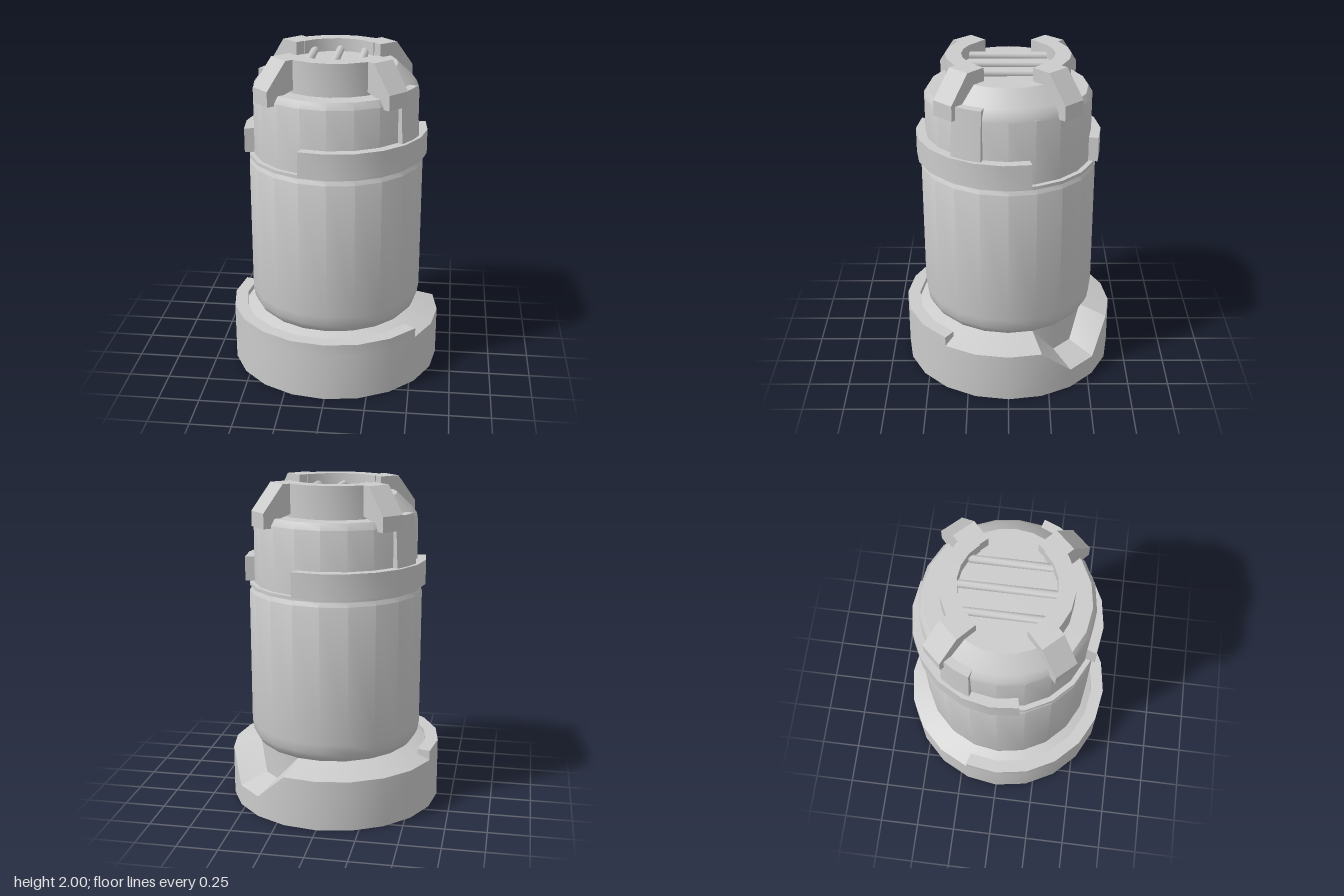
import * as THREE from 'three';
import { toCreasedNormals } from 'three/addons/utils/BufferGeometryUtils.js';

const SIDES = 20;
const rad = THREE.MathUtils.degToRad;
const material = new THREE.MeshStandardMaterial({ color: 0xcccccc });

function part(name, geometry, crease = 0.6) {
  const mesh = new THREE.Mesh(toCreasedNormals(geometry, crease), material);
  mesh.name = name;
  return mesh;
}

// Turned solid; profile runs from bottom to top
function turned(profile, start = 0, sweep = 360, sides = SIDES) {
  const points = profile.map(([r, y]) => new THREE.Vector2(r, y));
  return new THREE.LatheGeometry(points, sides, rad(start), rad(sweep));
}

// Block bent round the y axis; angles in degrees from +x towards +z
function ringBlock(r0, r1, y0, y1, a0, a1, taper = 1) {
  const n = Math.max(2, Math.round((a1 - a0) / 18));
  const outer = [], inner = [];
  for (let i = 0; i <= n; i++) {
    const a = rad(a0 + ((a1 - a0) * i) / n);
    outer.push(new THREE.Vector2(r1 * Math.cos(a), r1 * Math.sin(a)));
    inner.unshift(new THREE.Vector2(r0 * Math.cos(a), r0 * Math.sin(a)));
  }
  const g = new THREE.ExtrudeGeometry(new THREE.Shape([...outer, ...inner]), { depth: y1 - y0, bevelEnabled: false });
  g.rotateX(Math.PI / 2).translate(0, y1, 0);
  // Draw the upper outer edge inwards
  const p = g.attributes.position;
  for (let i = 0; i < p.count; i++) {
    if (p.getY(i) > y1 - 0.001 && Math.hypot(p.getX(i), p.getZ(i)) > r1 - 0.001) {
      p.setX(i, p.getX(i) * taper);
      p.setZ(i, p.getZ(i) * taper);
    }
  }
  return g;
}

// Base foot: wall and sloping top whose height dips at the notch
function footGeometry() {
  const R = 0.655, r = 0.48, v = [];
  const top = (k) => ([17, 18].includes(k % SIDES) ? 0.13 : 0.31);
  const at = (radius, y, k) => {
    const a = rad(18 * k);
    return [radius * Math.cos(a), y, radius * Math.sin(a)];
  };
  const quad = (a, b, c, d) => v.push(...a, ...b, ...c, ...a, ...c, ...d);
  for (let k = 0; k < SIDES; k++) {
    const h0 = top(k), h1 = top(k + 1);
    const o0 = at(R, h0, k), o1 = at(R, h1, k + 1);
    quad(at(R, 0, k + 1), at(R, 0, k), o0, o1);
    quad(o1, o0, at(r, h0 + 0.06, k), at(r, h1 + 0.06, k + 1));
    v.push(0, 0, 0, ...at(R, 0, k), ...at(R, 0, k + 1));
  }
  const g = new THREE.BufferGeometry();
  g.setAttribute('position', new THREE.Float32BufferAttribute(v, 3));
  g.computeVertexNormals();
  return g;
}

// Hooked claw, drawn in the radius/height plane
function clawGeometry() {
  const profile = [[0.28, 1.85], [0.44, 1.8], [0.46, 1.75], [0.54, 1.75], [0.54, 1.84], [0.41, 2], [0.28, 2]];
  const shape = new THREE.Shape(profile.map(([x, y]) => new THREE.Vector2(x, y)));
  return new THREE.ExtrudeGeometry(shape, { depth: 0.145, bevelEnabled: false }).translate(0, 0, -0.0725);
}

export function createModel() {
  const model = new THREE.Group();
  model.name = 'canister';

  // Foot with a raised lip round the front and one side
  model.add(part('foot', footGeometry(), 0.35));
  model.add(part('footLip', ringBlock(0.575, 0.655, 0.28, 0.37, 36, 198)));

  // Main body with rounded bottom and narrow groove under the cap
  model.add(part('body', turned([
    [0.48, 0.1], [0.48, 0.37], [0.505, 0.395], [0.522, 0.43], [0.532, 0.49],
    [0.532, 1.33], [0.515, 1.355], [0.515, 1.36], [0.53, 1.36], [0.53, 1.38], [0.48, 1.38],
  ])));

  // Cap with shoulder and raised centre
  model.add(part('cap', turned([
    [0.5, 1.37], [0.5, 1.765], [0.475, 1.805], [0.365, 1.805], [0.365, 1.92], [0, 1.92],
  ])));

  for (const side of [0, 180]) {
    // Lower band and upright tab, repeated on opposite sides
    model.add(part('capBand', ringBlock(0.48, 0.557, 1.38, 1.53, side - 14, side + 107)));
    model.add(part('capTab', ringBlock(0.44, 0.535, 1.5, 1.83, side + 17, side + 38, 0.965)));
    // Sloping dome between the claws
    model.add(part('capDome', turned([
      [0.5, 1.76], [0.495, 1.79], [0.465, 1.83], [0.37, 1.92], [0.2, 1.92],
    ], side + 45, 90, 6)));
    // Raised arc at front and back
    model.add(part('topArc', ringBlock(0.275, 0.37, 1.8, 2, side + 40, side + 140)));
  }

  // Four claws
  for (const angle of [43, 137, 223, 317]) {
    const claw = part('claw', clawGeometry());
    claw.rotation.y = -rad(angle);
    model.add(claw);
  }

  // Ribs on the top disc
  for (const x of [-0.155, 0, 0.155]) {
    const length = 2 * Math.sqrt(0.28 ** 2 - x * x);
    const rib = part('topRib', new THREE.CylinderGeometry(0.025, 0.025, length, 8).rotateX(Math.PI / 2), 0.9);
    rib.position.set(x, 1.932, 0);
    model.add(rib);
  }
  return model;
}
